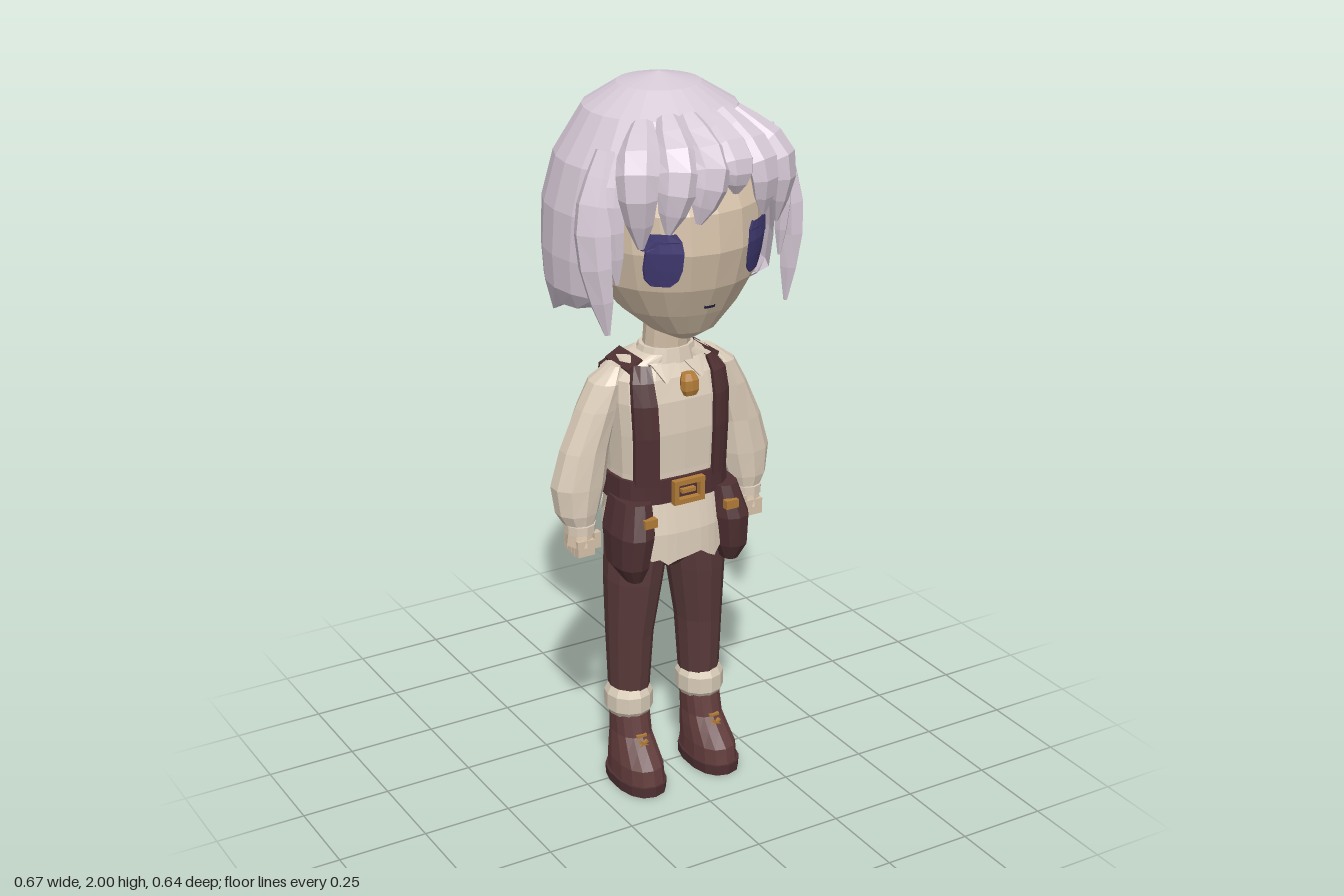
import * as THREE from 'three';

const mat = (name, color) => {
  const m = new THREE.MeshStandardMaterial({ color, flatShading: true, side: THREE.DoubleSide });
  m.name = name;
  return m;
};
const hairMat = mat('lavender hair', 0xd7cad7);
const skin = mat('skin', 0xd6c2aa);
const linen = mat('linen', 0xdccdba);
const wool = mat('sock wool', 0xd9ccb8);
const cloth = mat('trouser cloth', 0x5a3a3a);
const leather = mat('dark leather', 0x4f3032);
const bootMat = mat('boot leather', 0x623c3c);
const brass = mat('brass', 0xb27c38);
const iris = mat('eye violet', 0x423b74);
const mouthMat = mat('mouth dark', 0x2c2748);

// Horizontal superellipse sections [y, rx, rz, cx, cz], listed bottom to top.
function loft(sections, { seg = 12, n = 2, a0 = 0, a1 = 360, cap = true, jag = null } = {}) {
  const pos = [], idx = [], w = seg + 1;
  const power = (v) => Math.sign(v) * Math.abs(v) ** (2 / n);
  sections.forEach(([y, rx, rz, cx = 0, cz = 0], i) => {
    for (let j = 0; j <= seg; j++) {
      const t = THREE.MathUtils.degToRad(a0 + (a1 - a0) * j / seg);
      const dy = jag && i === 0 ? jag[j % jag.length] : 0;
      pos.push(cx + rx * power(Math.sin(t)), y + dy, cz + rz * power(Math.cos(t)));
    }
  });
  for (let i = 0; i < sections.length - 1; i++)
    for (let j = 0; j < seg; j++) {
      const a = i * w + j, b = a + w;
      idx.push(a, a + 1, b + 1, a, b + 1, b);
    }
  if (cap) {
    [0, sections.length - 1].forEach((i) => {
      const [y, , , cx = 0, cz = 0] = sections[i], c = pos.length / 3;
      pos.push(cx, y, cz);
      for (let j = 0; j < seg; j++) {
        const a = i * w + j;
        if (i) idx.push(c, a, a + 1); else idx.push(c, a + 1, a);
      }
    });
  }
  return build(pos, idx);
}

function build(pos, idx) {
  const g = new THREE.BufferGeometry();
  g.setAttribute('position', new THREE.Float32BufferAttribute(pos, 3));
  g.setIndex(idx);
  g.computeVertexNormals();
  return g;
}

// z of a lofted surface at (x, y); side is +1 for front, -1 for back
const surface = (sections, n) => (x, y, side) => {
  let i = 0;
  while (i < sections.length - 2 && y > sections[i + 1][0]) i++;
  const A = sections[i], B = sections[i + 1];
  const t = THREE.MathUtils.clamp((y - A[0]) / (B[0] - A[0]), 0, 1);
  const mix = (k) => A[k] + (B[k] - A[k]) * t;
  const u = Math.min(Math.abs(x) / mix(1), 1);
  return mix(4) + side * mix(2) * (1 - u ** n) ** (1 / n);
};

// Thin plate hugging a surface; rows are [y, x0, x1]
function patch(rows, zAt, lift, side = 1) {
  const pos = [], idx = [], cols = [[0, 0], [0, 1], [0.33, 1], [0.67, 1], [1, 1], [1, 0]], w = cols.length;
  rows.forEach(([y, x0, x1]) => cols.forEach(([u, d]) => {
    const x = x0 + (x1 - x0) * u;
    pos.push(x, y, zAt(x, y, side) + side * d * lift);
  }));
  for (let i = 0; i < rows.length - 1; i++)
    for (let j = 0; j < w - 1; j++) {
      const a = i * w + j, b = a + w;
      const flip = (rows[0][2] > rows[0][1]) === (side > 0);
      if (flip) idx.push(a, a + 1, b + 1, a, b + 1, b);
      else idx.push(a, b + 1, a + 1, a, b, b + 1);
    }
  return build(pos, idx);
}

// Six-sided lock of hair along a curve
function lock(points, width, depth) {
  const curve = new THREE.CatmullRomCurve3(points.map((p) => new THREE.Vector3(...p)));
  const profile = [0.5, 0.8, 1, 1, 0.9, 0.65, 0.15], last = profile.length - 1;
  const pos = [], idx = [];
  profile.forEach((k, i) => {
    const c = curve.getPoint(i / last), T = curve.getTangent(i / last);
    const S = new THREE.Vector3().crossVectors(T, new THREE.Vector3(c.x, 0, c.z + 0.03)).normalize();
    const N = new THREE.Vector3().crossVectors(S, T);
    for (let j = 0; j < 6; j++) {
      const a = j * Math.PI / 3;
      const p = c.clone().addScaledVector(S, Math.cos(a) * width * k).addScaledVector(N, Math.sin(a) * depth * k);
      pos.push(p.x, p.y, p.z);
    }
  });
  for (let i = 0; i < last; i++)
    for (let j = 0; j < 6; j++) {
      const a = i * 6 + j, b = i * 6 + (j + 1) % 6;
      idx.push(a, b, b + 6, a, b + 6, a + 6);
    }
  for (let j = 1; j < 5; j++) idx.push(0, j + 1, j);
  return build(pos, idx);
}

export function createModel() {
  const root = new THREE.Group();
  root.name = 'figure';
  const add = (name, geo, m, x = 0, y = 0, z = 0) => {
    const mesh = new THREE.Mesh(geo, m);
    mesh.name = name;
    mesh.position.set(x, y, z);
    root.add(mesh);
    return mesh;
  };
  const box = (w, h, d) => new THREE.BoxGeometry(w, h, d);

  // Head and neck
  const headRings = [[1.33, 0.03, 0.03, 0, 0.1], [1.36, 0.09, 0.085, 0, 0.09], [1.42, 0.16, 0.15, 0, 0.06],
    [1.5, 0.215, 0.21, 0, 0.04], [1.6, 0.24, 0.245, 0, 0.03], [1.7, 0.245, 0.245, 0, 0.02],
    [1.8, 0.22, 0.21, 0, 0], [1.88, 0.15, 0.14, 0, -0.02]];
  const faceZ = surface(headRings, 2);
  add('head', loft(headRings, { seg: 20 }), skin);
  add('neck', loft([[1.22, 0.075, 0.065, 0, 0.005], [1.28, 0.065, 0.06, 0, 0.008], [1.4, 0.062, 0.06, 0, 0.02]]), skin);
  add('mouth', patch([[1.442, -0.014, 0.014], [1.45, -0.014, 0.014]], faceZ, 0.006), mouthMat);

  // Hair cap: closed crown, lower part open at the face, hem curled inwards
  const brow = [1.8, 0.275, 0.268, 0, -0.025];
  add('hairCrown', loft([brow, [1.92, 0.2, 0.2, 0, -0.025], [1.975, 0.11, 0.11, 0, -0.03], [2, 0, 0, 0, -0.03]],
    { seg: 24, cap: false }), hairMat);
  const jag = [0.05, 0.02, -0.015, 0.025, -0.005, -0.02, 0.015, 0.02];
  const hem = [1.405, 0.28, 0.25, 0, -0.047];
  add('hairBack', loft([hem, [1.47, 0.303, 0.272, 0, -0.042], [1.56, 0.31, 0.283, 0, -0.037], [1.68, 0.305, 0.29, 0, -0.032], brow],
    { seg: 16, a0: 60, a1: 300, cap: false, jag }), hairMat);
  add('hairLining', loft([hem, [1.425, 0.215, 0.185, 0, -0.05], [1.55, 0.265, 0.24, 0, -0.037], [1.7, 0.27, 0.25, 0, -0.03]],
    { seg: 16, a0: 60, a1: 300, cap: false, jag }), hairMat);

  // Fringe
  [[[-0.14, 1.92, 0.13], [-0.215, 1.82, 0.235], [-0.2, 1.63, 0.225]],
    [[-0.08, 1.93, 0.15], [-0.12, 1.82, 0.27], [-0.145, 1.67, 0.265]],
    [[-0.03, 1.93, 0.16], [-0.035, 1.82, 0.285], [-0.07, 1.69, 0.285]],
    [[0.03, 1.93, 0.16], [0.045, 1.83, 0.275], [0.04, 1.75, 0.28]],
    [[0.08, 1.93, 0.15], [0.125, 1.82, 0.265], [0.13, 1.68, 0.265]],
    [[0.13, 1.92, 0.13], [0.21, 1.81, 0.225], [0.2, 1.64, 0.22]],
  ].forEach((p) => add('fringeLock', lock(p, 0.054, 0.032), hairMat));

  // Torso
  const torso = [[0.86, 0.16, 0.118, 0, -0.012], [0.95, 0.16, 0.118, 0, -0.012], [1.06, 0.165, 0.124, 0, -0.012],
    [1.15, 0.17, 0.125, 0, -0.018], [1.21, 0.165, 0.106, 0, -0.016], [1.25, 0.125, 0.078, 0, -0.01], [1.27, 0.08, 0.065, 0, 0.002]];
  const bodyZ = surface(torso, 3.2);
  add('shirt', loft(torso, { seg: 20, n: 3.2 }), linen);
  add('collar', loft([[1.245, 0.09, 0.08, 0, 0.002], [1.285, 0.075, 0.069, 0, 0.006]], { seg: 14 }), linen);
  const tailJag = [0.03, 0.022, 0.026, 0.008, 0.018, 0.024, 0.03, 0.012, 0, 0.02, 0.028];
  [[-42, 42, 'shirtFrontTail', -0.004], [130, 230, 'shirtBackTail', -0.018]].forEach(([a0, a1, name, cz]) =>
    add(name, loft([[0.683, 0.165, 0.136, 0, cz], [0.78, 0.165, 0.134, 0, cz], [0.88, 0.16, 0.12, 0, -0.01]],
      { seg: 10, n: 2.6, a0, a1, cap: false, jag: tailJag }), linen));

  // Belt, buckle and brooch
  add('belt', loft([[0.867, 0.172, 0.13, 0, -0.014], [0.935, 0.17, 0.13, 0, -0.014]], { seg: 20, n: 3 }), leather);
  const loop = (w, h) => [[-w, -h], [w, -h], [w, h], [-w, h]].map((p) => new THREE.Vector2(...p));
  const frame = new THREE.Shape(loop(0.047, 0.034));
  frame.holes.push(new THREE.Path(loop(0.033, 0.02)));
  add('buckle', new THREE.ExtrudeGeometry(frame, { depth: 0.018, bevelEnabled: false }), brass, 0, 0.898, 0.116);
  add('buckleTongue', box(0.042, 0.011, 0.014), brass, 0, 0.898, 0.123);
  add('brooch', loft([[1.173, 0.018, 0.012, 0, 0.13], [1.188, 0.026, 0.017, 0, 0.13], [1.215, 0.026, 0.017, 0, 0.128], [1.232, 0.018, 0.012, 0, 0.122]], { seg: 8, n: 3 }), brass);

  // Trouser seat
  add('trouserSeat', loft([[0.645, 0.04, 0.05, 0, 0], [0.69, 0.15, 0.09, 0, -0.003], [0.76, 0.16, 0.105, 0, -0.005], [0.88, 0.155, 0.112, 0, -0.01]],
    { seg: 16 }), cloth);

  // Mirrored parts
  for (const s of [1, -1]) {
    const side = (list) => list.map(([y, rx, rz, cx, cz]) => [y, rx, rz, s * cx, cz]);
    const rows = (list) => list.map(([y, x0, x1]) => [y, s * x0, s * x1]);

    // Eye and lash
    add('eye', patch(rows([[1.518, 0.118, 0.155], [1.535, 0.102, 0.168], [1.565, 0.096, 0.174], [1.61, 0.096, 0.174], [1.64, 0.1, 0.174], [1.66, 0.115, 0.165]]), faceZ, 0.008), iris);
    add('eyelash', patch(rows([[1.615, 0.172, 0.182], [1.64, 0.1, 0.187], [1.66, 0.112, 0.178]]), faceZ, 0.0095), iris);

    // Side locks
    add('sideLock', lock([[s * 0.236, 1.86, 0.115], [s * 0.292, 1.66, 0.145], [s * 0.266, 1.4, 0.17]], 0.053, 0.037), hairMat);
    add('innerLock', lock([[s * 0.215, 1.85, 0.13], [s * 0.25, 1.73, 0.165], [s * 0.24, 1.53, 0.175]], 0.036, 0.026), hairMat);

    // Collar point and braces
    add('collarPoint', patch(rows([[1.205, 0.05, 0.056], [1.25, 0.012, 0.082]]), bodyZ, 0.014), linen);
    add('braceFront', patch(rows([[0.92, 0.083, 0.14], [1.06, 0.085, 0.143], [1.15, 0.088, 0.146], [1.21, 0.09, 0.142], [1.25, 0.085, 0.12]]), bodyZ, 0.015), leather);
    add('braceBack', patch(rows([[0.92, 0.055, 0.105], [1.06, 0.065, 0.117], [1.15, 0.075, 0.13], [1.21, 0.083, 0.138], [1.25, 0.085, 0.12]]), bodyZ, 0.014, -1), leather);
    add('braceShoulder', box(0.05, 0.016, 0.12), leather, s * 0.115, 1.244, -0.012).rotation.z = -s * 0.5;

    // Sleeve and hand
    add('sleeve', loft(side([[0.795, 0.034, 0.038, 0.26, -0.005], [0.845, 0.06, 0.055, 0.264, -0.012], [0.92, 0.077, 0.062, 0.257, -0.016],
      [1.02, 0.068, 0.06, 0.237, -0.015], [1.13, 0.055, 0.06, 0.2, -0.015], [1.2, 0.045, 0.055, 0.172, -0.015], [1.24, 0.015, 0.03, 0.145, -0.015]]), { seg: 10 }), linen);
    add('cuff', loft(side([[0.79, 0.043, 0.045, 0.262, -0.002], [0.815, 0.044, 0.046, 0.262, -0.002]]), { seg: 10 }), linen);
    add('palm', loft(side([[0.755, 0.038, 0.045, 0.264, 0], [0.8, 0.034, 0.036, 0.262, 0]]), { seg: 8 }), skin);
    for (let i = 0; i < 4; i++) add('finger', box(0.05, 0.045, 0.018), skin, s * 0.265, 0.75 + 0.003 * Math.abs(i - 1), 0.032 - i * 0.021);
    add('thumb', box(0.02, 0.045, 0.02), skin, s * 0.23, 0.77, 0.03);

    // Hip pouch
    add('pouch', loft(side([[0.655, 0.022, 0.035, 0.15, 0.085], [0.7, 0.047, 0.075, 0.154, 0.067], [0.79, 0.056, 0.094, 0.147, 0.06], [0.88, 0.044, 0.08, 0.133, 0.045]]),
      { seg: 12, n: 2.5 }), leather);
    add('pouchButton', box(0.038, 0.024, 0.02), brass, s * 0.126, 0.834, 0.138);

    // Leg, sock and boot
    add('trouserLeg', loft(side([[0.27, 0.056, 0.062, 0.113, -0.005], [0.45, 0.065, 0.073, 0.11, -0.005], [0.62, 0.08, 0.092, 0.098, -0.003], [0.74, 0.085, 0.102, 0.085, -0.005]]), { seg: 12 }), cloth);
    add('sock', loft(side([[0.205, 0.056, 0.06, 0.115, -0.003], [0.222, 0.067, 0.071, 0.115, -0.003], [0.268, 0.067, 0.071, 0.115, -0.003], [0.29, 0.055, 0.06, 0.115, -0.003]]), { seg: 12 }), wool);
    add('boot', loft(side([[0.025, 0.064, 0.108, 0.118, 0.043], [0.075, 0.063, 0.102, 0.118, 0.04], [0.115, 0.058, 0.083, 0.116, 0.022], [0.15, 0.053, 0.067, 0.115, 0.008], [0.22, 0.053, 0.059, 0.114, -0.002]]), { seg: 14, n: 2.3 }), bootMat);
    add('sole', loft(side([[0, 0.068, 0.112, 0.119, 0.043], [0.03, 0.07, 0.113, 0.119, 0.043]]), { seg: 14, n: 2.3 }), leather);
    [[0.135, 0.6], [0.135, -0.6], [0.155, 0]].forEach(([y, r]) => {
      add('lace', box(0.03, 0.007, 0.01), brass, s * 0.118, y, y > 0.14 ? 0.074 : 0.085).rotation.z = r;
    });
  }
  return root;
}
